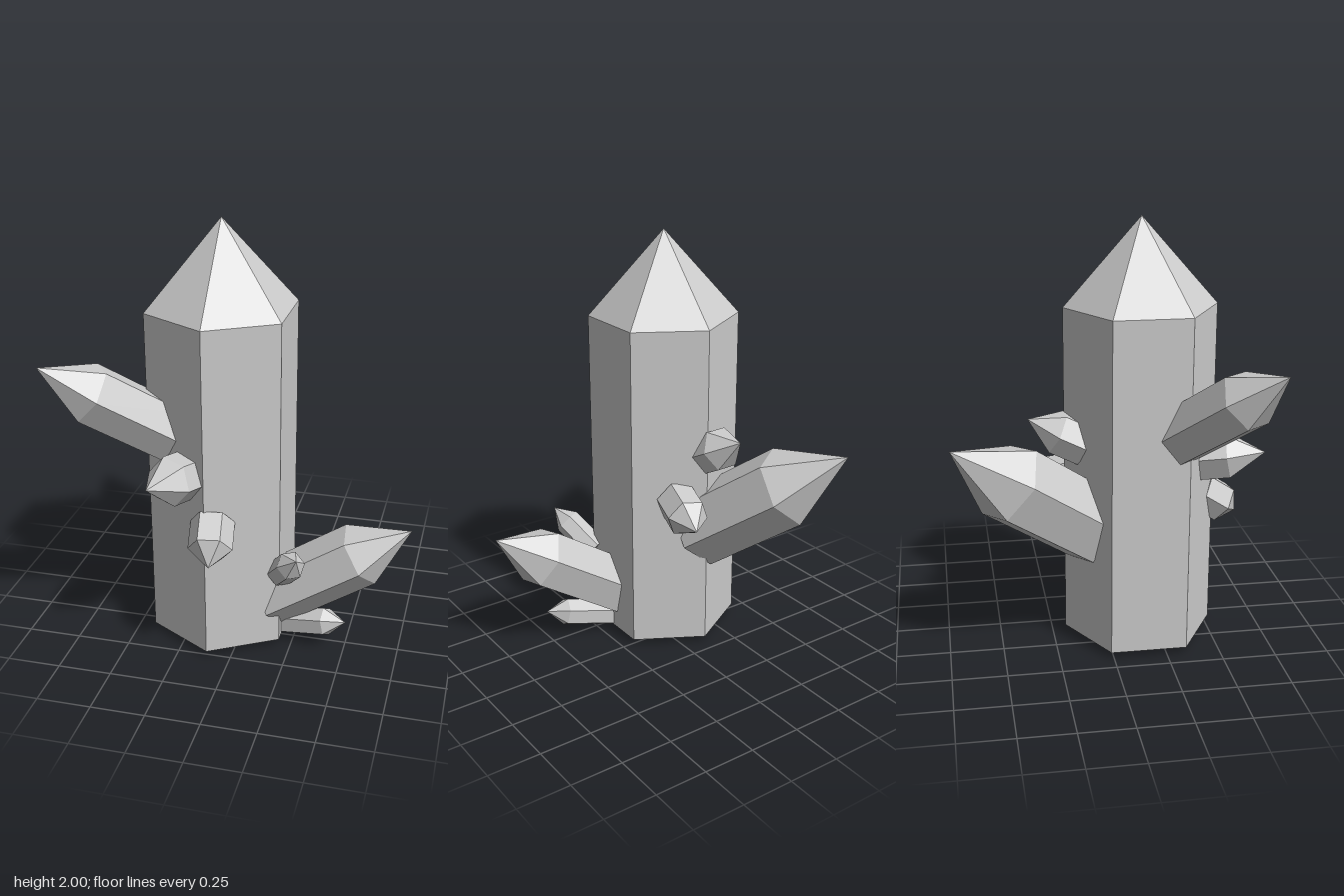
import * as THREE from 'three';

const material = new THREE.MeshStandardMaterial({ color: 0xcccccc, flatShading: true });

// Six-sided prism with a pointed end, running from base to tip.
// shoulder: share of the length that is prism; twist: degrees around the axis.
function crystal(name, base, tip, radius, shoulder, twist = 0) {
  const start = new THREE.Vector3(...base);
  const axis = new THREE.Vector3(...tip).sub(start);
  const length = axis.length();
  axis.normalize();

  const profile = [[0, 0], [radius, 0], [radius, length * shoulder], [0, length]]
    .map(([x, y]) => new THREE.Vector2(x, y));
  const geometry = new THREE.LatheGeometry(profile, 6, THREE.MathUtils.degToRad(twist)).toNonIndexed();
  geometry.computeVertexNormals();

  // Frame around the axis: side is level, up is the steepest direction
  const side = new THREE.Vector3().crossVectors(axis, new THREE.Vector3(0, 1, 0));
  if (side.length() < 1e-4) side.set(1, 0, 0);
  side.normalize();
  const up = new THREE.Vector3().crossVectors(side, axis);

  const mesh = new THREE.Mesh(geometry, material);
  mesh.name = name;
  mesh.position.copy(start);
  mesh.quaternion.setFromRotationMatrix(new THREE.Matrix4().makeBasis(side, axis, up));
  return mesh;
}

export function createModel() {
  const model = new THREE.Group();
  model.name = 'crystalCluster';

  model.add(
    // Upright main column
    crystal('mainCrystal', [-0.11, 0.03, 0.165], [-0.11, 2, 0.165], 0.354, 0.797),

    // Three large side crystals
    crystal('leftLargeCrystal', [0.13, 0.208, 0.235], [0.785, 0.64, 0.25], 0.15, 0.65, -17),
    crystal('rightLargeCrystal', [-0.32, 1.04, 0.31], [-0.79, 1.43, 0.655], 0.14, 0.63, 30),
    crystal('backLargeCrystal', [-0.16, 0.565, -0.06], [-0.49, 1.08, -0.72], 0.191, 0.61, -21),

    // Small crystals
    crystal('lowSmallCrystal', [0.17, 0.07, 0.225], [0.505, 0.145, 0.3], 0.07, 0.72),
    crystal('cornerSmallCrystal', [0.2, 0.39, 0.33], [0.312, 0.575, 0.53], 0.066, 0.67, 30),
    crystal('frontSmallCrystal', [-0.085, 0.69, 0.46], [-0.055, 0.56, 0.65], 0.1, 0.6, 30),
    crystal('frontRightSmallCrystal', [-0.205, 0.895, 0.43], [-0.305, 0.94, 0.715], 0.112, 0.46, 20),
    crystal('backUpperSmallCrystal', [-0.15, 0.97, -0.1], [-0.165, 1.105, -0.36], 0.105, 0.5, 30),
    crystal('backLowerSmallCrystal', [0.005, 0.775, -0.1], [0.07, 0.72, -0.35], 0.1, 0.58, 20),
  );
  return model;
}
